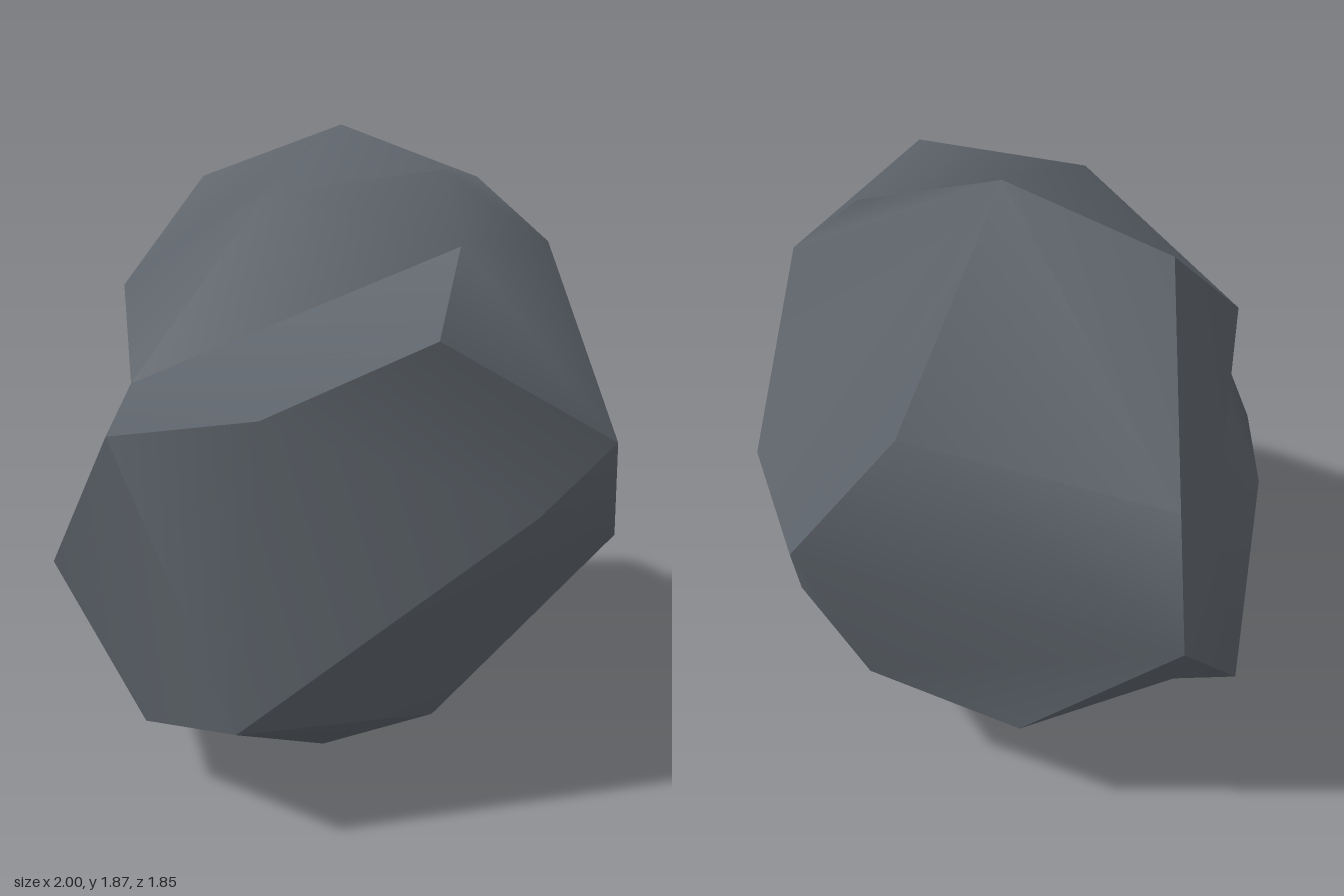
import * as THREE from 'three';
import { mergeGeometries } from 'three/addons/utils/BufferGeometryUtils.js';

// Corners of the boulder, keyed by where they lie
const P = {
  peak: [-0.2, 1.87, -0.24], topR: [0.26, 1.72, -0.34], shoulderR: [0.48, 1.53, -0.41],
  knob: [0.38, 1.77, 0.03], brow: [-0.02, 1.7, 0.34], ledgeTip: [0.62, 1.6, 0.3],
  topL: [-0.61, 1.7, -0.02], cheekL: [-0.58, 1.39, 0.38], ledgeL: [-0.33, 1.15, 0.6],
  ledgeF: [-0.09, 1.1, 0.92], ledgeR: [0.35, 1.19, 0.8], ledgeEnd: [0.72, 1.4, 0.54],
  sideHi: [1, 1.09, 0.1], sideLo: [0.99, 0.82, 0.07], sideF: [0.9, 0.92, 0.33],
  chinR: [0.35, 0.36, 0.91], chinL: [-0.09, 0.22, 0.82], frontL: [-0.35, 0.68, 0.91],
  dentL: [-0.79, 0.92, 0.02], bulgeL: [-0.7, 0.81, 0.41], lowL: [-0.92, 0.4, 0.01],
  midL: [-1, 0.82, -0.42], highL: [-0.92, 1.21, -0.37],
  footL: [-0.56, 0.01, 0.24], footR: [0.15, 0, 0.3], lowR: [0.53, 0.21, 0.26],
  backHi: [-0.29, 1.34, -0.75], backMid: [-0.04, 0.95, -0.93], backR: [0.39, 0.98, -0.69],
  backLow: [-0.13, 0.46, -0.75], backLowR: [0.24, 0.54, -0.69], backLowL: [-0.57, 0.39, -0.58],
};

// Chiselled faces: each is smooth inside and sharp at its border.
// A face is a list of corner loops.
const faces = {
  crown: [
    'peak topL cheekL brow', 'brow cheekL ledgeL', 'peak brow topR', 'brow knob topR',
    'brow ledgeL ledgeTip', 'brow ledgeTip knob', 'knob ledgeTip shoulderR topR',
    'ledgeTip ledgeEnd sideHi shoulderR',
  ],
  ledge: ['ledgeL ledgeF ledgeR ledgeEnd ledgeTip'],
  front: ['ledgeF frontL chinL chinR'],
  frontRight: ['ledgeF chinR ledgeR', 'chinR sideF ledgeR', 'ledgeR sideF ledgeEnd', 'sideF sideHi ledgeEnd'],
  lowerRight: ['chinR lowR sideLo', 'chinR sideLo sideF', 'sideF sideLo sideHi'],
  upperRight: ['backR shoulderR sideHi sideLo'],
  right: ['sideLo lowR backLowR backR'],
  left: [
    'dentL cheekL topL highL midL', 'dentL midL lowL bulgeL',
    'cheekL dentL ledgeL', 'dentL bulgeL ledgeL', 'bulgeL frontL ledgeL', 'frontL ledgeF ledgeL',
    'frontL bulgeL lowL', 'frontL lowL footL chinL',
  ],
  back: ['peak topR shoulderR backR backMid backHi'],
  backLeft: ['peak backHi highL topL', 'backHi midL highL', 'midL backLowL backLow backMid backHi'],
  backLower: ['backMid backR backLowR backLow'],
  chin: ['footR footL chinL chinR lowR'],
  underside: ['footR lowR backLowR backLow backLowL footL'],
  lowerLeft: ['footL backLowL midL lowL'],
};

const centre = new THREE.Vector3(0, 0.9, 0);

function faceGeometry(loops) {
  const keys = [...new Set(loops.flatMap((loop) => loop.split(' ')))];
  const points = keys.map((key) => new THREE.Vector3(...P[key]));
  const indices = [];
  for (const loop of loops) {
    const ids = loop.split(' ').map((key) => keys.indexOf(key));
    // Total normal and middle of the loop, used to wind it outward
    const normal = new THREE.Vector3(), middle = new THREE.Vector3();
    ids.forEach((id, i) => {
      normal.add(points[id].clone().cross(points[ids[(i + 1) % ids.length]]));
      middle.addScaledVector(points[id], 1 / ids.length);
    });
    const outward = normal.dot(middle.sub(centre)) > 0;
    for (let i = 1; i < ids.length - 1; i++) {
      indices.push(ids[0], ...(outward ? [ids[i], ids[i + 1]] : [ids[i + 1], ids[i]]));
    }
  }
  const geometry = new THREE.BufferGeometry().setFromPoints(points);
  geometry.setIndex(indices);
  geometry.computeVertexNormals();
  return geometry;
}

export function createModel() {
  const stone = new THREE.MeshStandardMaterial({ color: 0x5b6168 });
  stone.name = 'slate grey stone';
  const boulder = new THREE.Mesh(mergeGeometries(Object.values(faces).map(faceGeometry)), stone);
  boulder.name = 'boulder';
  const group = new THREE.Group();
  group.name = 'rock';
  group.add(boulder);
  return group;
}
